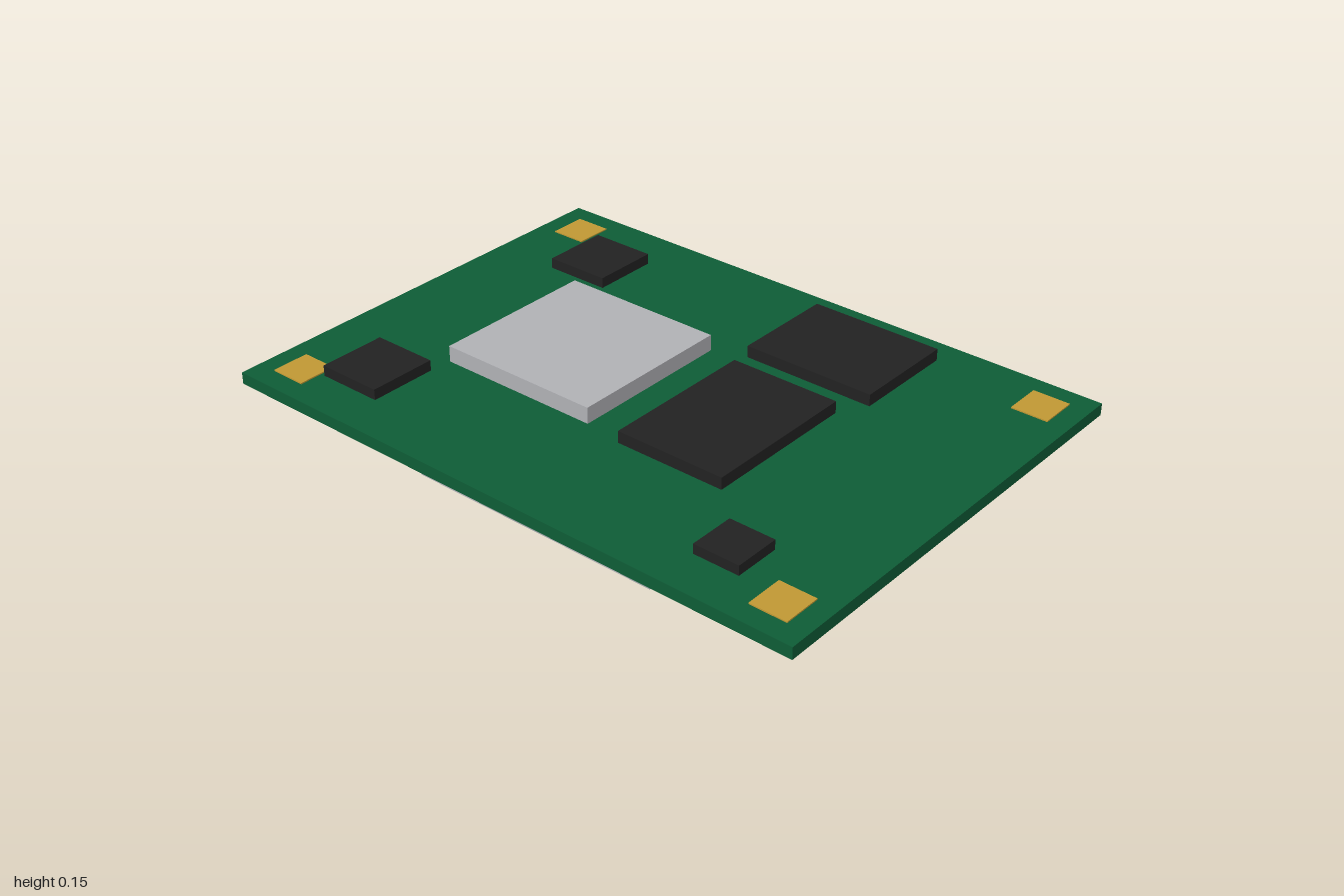
import * as THREE from 'three';

const mat = (name, color) => {
  const m = new THREE.MeshStandardMaterial({ color });
  m.name = name;
  return m;
};

export function createModel() {
  const group = new THREE.Group();
  const green = mat('board green', 0x0e5c36);
  const black = mat('chip black', 0x222222);
  const silver = mat('silver grey', 0xb0b1b5);
  const gold = mat('pad gold', 0xc09834);

  // Box given by its extents on each axis
  const block = (name, material, [x0, x1], [y0, y1], [z0, z1]) => {
    const mesh = new THREE.Mesh(new THREE.BoxGeometry(x1 - x0, y1 - y0, z1 - z0), material);
    mesh.position.set((x0 + x1) / 2, (y0 + y1) / 2, (z0 + z1) / 2);
    mesh.name = name;
    group.add(mesh);
  };

  const under = 0.06, top = 0.098;
  block('circuitBoard', green, [-0.727, 0.727], [under, top], [-1, 1]);

  // Components on the upper face
  block('processor', silver, [-0.292, 0.252], [top, 0.15], [-0.583, -0.04]);
  block('memoryChipWide', black, [-0.312, 0.2], [top, 0.136], [0.09, 0.453]);
  block('memoryChipTall', black, [0.29, 0.633], [top, 0.136], [0.068, 0.505]);
  block('cornerChipRight', black, [-0.585, -0.365], [top, 0.132], [-0.802, -0.588]);
  block('cornerChipLeft', black, [0.343, 0.563], [top, 0.132], [-0.765, -0.55]);
  block('smallChip', black, [-0.585, -0.438], [top, 0.129], [0.58, 0.727]);

  // Mirrored corner pads and underside connectors
  for (const side of [-1, 1]) {
    const x = side * 0.6;
    for (const z of [-0.875, 0.875]) {
      block('cornerPad', gold, [x - 0.061, x + 0.061], [top, top + 0.004], [z - 0.059, z + 0.059]);
    }
    const cx = side * 0.62;
    block('edgeConnector', silver, [cx - 0.049, cx + 0.049], [0, under], [-0.32, 0.508]);
  }
  return group;
}
